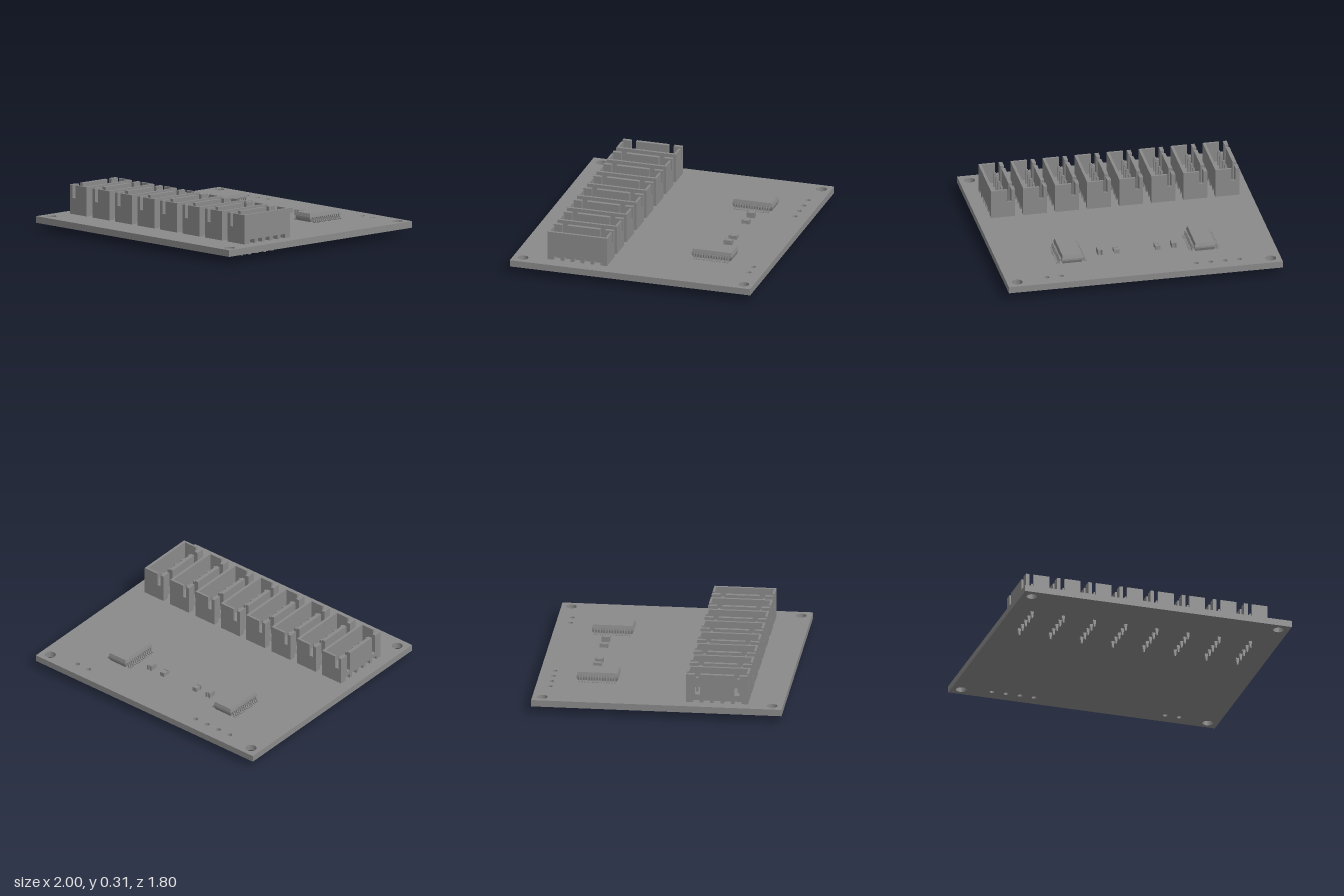
import * as THREE from 'three';

const mat = new THREE.MeshStandardMaterial({ color: 0x8a8a8a, flatShading: true });
const BOARD_TOP = 0.101;

function add(parent, name, geo, x = 0, y = 0, z = 0) {
  const m = new THREE.Mesh(geo, mat);
  m.name = name;
  m.position.set(x, y, z);
  parent.add(m);
  return m;
}

// box given by its min and max corners
function block(parent, name, x0, x1, y0, y1, z0, z1) {
  return add(parent, name, new THREE.BoxGeometry(x1 - x0, y1 - y0, z1 - z0),
    (x0 + x1) / 2, (y0 + y1) / 2, (z0 + z1) / 2);
}

const polygon = (pts) => new THREE.Shape(pts.map(([x, y]) => new THREE.Vector2(x, y)));
const extrude = (shape, depth, curveSegments = 12) =>
  new THREE.ExtrudeGeometry(shape, { depth, bevelEnabled: false, curveSegments });

// flat plate with corner mounting holes and a row of small vias
function makeBoard() {
  const s = polygon([[-1, -0.9], [1, -0.9], [1, 0.9], [-1, 0.9]]);
  const hole = (x, z, r) => s.holes.push(new THREE.Path().absarc(x, -z, r, 0, Math.PI * 2, true));
  for (const x of [-0.925, 0.925]) for (const z of [-0.828, 0.824]) hole(x, z, 0.039);
  for (const x of [-0.703, -0.598, -0.493, -0.388, 0.597, 0.702]) hole(x, -0.797, 0.018);
  return extrude(s, BOARD_TOP - 0.053).rotateX(-Math.PI / 2).translate(0, 0.053, 0);
}

// open-topped pin header socket; origin at its -x edge, centred in z, bottom at y = 0
function makeConnector() {
  const g = new THREE.Group();
  g.name = 'connector';
  const W = 0.175, L = 0.223, H = 0.212, floor = 0.06, inner = 0.155;
  const pinZ = [-2, -1, 0, 1, 2].map((i) => i * 0.075);

  // base with a notch under each pin, closed by a core in the middle
  const base = [[-L, floor], [-L, 0]];
  for (const z of pinZ) base.push([z - 0.025, 0], [z - 0.025, 0.03], [z + 0.025, 0.03], [z + 0.025, 0]);
  base.push([L, 0], [L, floor]);
  add(g, 'connectorBase', extrude(polygon(base), W).rotateY(Math.PI / 2));
  block(g, 'baseCore', 0.045, 0.13, 0, 0.03, -0.18, 0.18);

  // keyed wall with two slots, and the plain wall opposite
  const wall = [[-L, floor], [L, floor], [L, H], [0.16, H], [0.16, floor + 0.002], [0.122, floor + 0.002],
    [0.122, H], [-0.122, H], [-0.122, floor + 0.002], [-0.16, floor + 0.002], [-0.16, H], [-L, H]];
  add(g, 'slottedWall', extrude(polygon(wall), 0.027).rotateY(Math.PI / 2));
  block(g, 'plainWall', inner, W, floor, H, -L, L);

  // end walls, each with a key slot beside the slotted wall
  const end = [[0.027, floor], [inner, floor], [inner, H], [0.057, H], [0.057, 0.117], [0.027, 0.117]];
  for (const z of [-L, L - 0.016]) add(g, 'endWall', extrude(polygon(end), 0.016), 0, 0, z);

  // pins, chamfered on top, kinked and tapered below the board
  const pin = polygon([[0.059, 0.163], [0.059, 0], [0.056, -0.05], [0.063, -0.09], [0.065, -0.101],
    [0.074, -0.101], [0.08, -0.05], [0.079, 0], [0.079, 0.163], [0.075, 0.17], [0.063, 0.17]]);
  for (const z of pinZ) add(g, 'pin', extrude(pin, 0.018), 0, 0, z - 0.009);
  return g;
}

// chip body: stacked rectangles [halfX, y, halfZ] joined into a closed faceted solid
function makeChipBody() {
  const levels = [[0.07, 0.003, 0.141], [0.076, 0.025, 0.15], [0.076, 0.038, 0.15], [0.07, 0.064, 0.143]];
  const pos = [], idx = [];
  for (const [x, y, z] of levels) pos.push(-x, y, z, x, y, z, x, y, -z, -x, y, -z);
  for (let l = 0; l < levels.length - 1; l++) {
    for (let i = 0; i < 4; i++) {
      const a = l * 4 + i, b = l * 4 + (i + 1) % 4;
      idx.push(a, b, b + 4, a, b + 4, a + 4);
    }
  }
  const t = (levels.length - 1) * 4;
  idx.push(t, t + 1, t + 2, t, t + 2, t + 3, 0, 2, 1, 0, 3, 2);
  const geo = new THREE.BufferGeometry();
  geo.setAttribute('position', new THREE.Float32BufferAttribute(pos, 3));
  geo.setIndex(idx);
  const flat = geo.toNonIndexed();
  flat.computeVertexNormals();
  return flat;
}

function makeChip() {
  const g = new THREE.Group();
  g.name = 'chip';
  add(g, 'chipBody', makeChipBody());
  add(g, 'chipMark', new THREE.CylinderGeometry(0.006, 0.006, 0.002, 16), 0.045, 0.0635, 0.115);
  // gull-wing leads, 14 a side
  const lead = extrude(polygon([[0.07, 0.036], [0.07, 0.029], [0.083, 0.029], [0.089, 0], [0.11, 0],
    [0.11, 0.006], [0.095, 0.006], [0.089, 0.036]]), 0.009).translate(0, 0, -0.0045);
  for (const side of [0, Math.PI]) {
    for (let i = 0; i < 14; i++) {
      add(g, 'chipLead', lead, 0, 0, (i - 6.5) * 0.0195).rotation.y = side;
    }
  }
  return g;
}

// small resistor with raised end terminals
function makeResistor() {
  const g = new THREE.Group();
  g.name = 'resistor';
  block(g, 'resistorBody', -0.017, 0.017, 0.002, 0.026, -0.02, 0.02);
  for (const s of [-1, 1]) {
    add(g, 'resistorTerminal', new THREE.BoxGeometry(0.037, 0.031, 0.013), 0, 0.0155, s * 0.0235);
  }
  return g;
}

// small lamp: block with a half-round bite in each end
function makeLamp() {
  const s = new THREE.Shape();
  s.moveTo(-0.019, -0.03);
  s.lineTo(-0.009, -0.03);
  s.absarc(0, -0.03, 0.009, Math.PI, 0, true);
  s.lineTo(0.019, -0.03);
  s.lineTo(0.019, 0.03);
  s.lineTo(0.009, 0.03);
  s.absarc(0, 0.03, 0.009, 0, -Math.PI, true);
  s.lineTo(-0.019, 0.03);
  const g = new THREE.Group();
  g.name = 'lamp';
  add(g, 'lampBody', extrude(s, 0.039, 8).rotateX(-Math.PI / 2));
  return g;
}

export function createModel() {
  const model = new THREE.Group();
  model.name = 'circuitBoard';
  add(model, 'board', makeBoard());

  const place = (part, x, z) => {
    part.position.set(x, BOARD_TOP, z);
    model.add(part);
  };
  for (let i = 0; i < 8; i++) place(makeConnector(), -0.914 + i * 0.2338, 0.427);
  for (const x of [-0.491, 0.478]) place(makeChip(), x, -0.472);
  for (const x of [-0.164, 0.136]) place(makeResistor(), x, -0.503);
  for (const x of [-0.285, 0.254]) place(makeLamp(), x, -0.503);
  return model;
}
